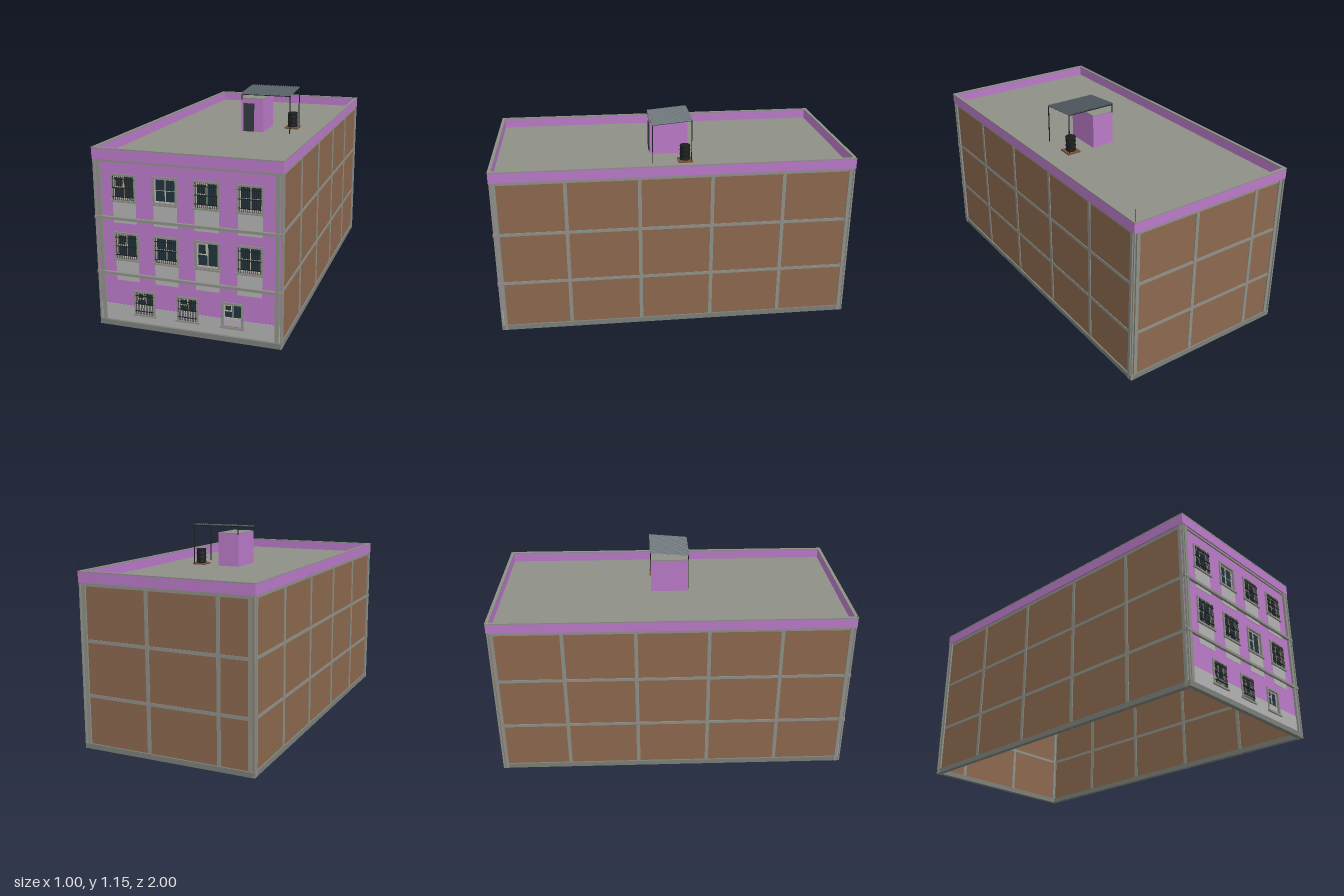
import * as THREE from 'three';

const mat = (color, side = THREE.FrontSide) => new THREE.MeshStandardMaterial({ color, side });
const M = {
  pink: mat(0xba7ac8), brick: mat(0x8c684e), concrete: mat(0x8e9088), light: mat(0xb2b2b2),
  glass: mat(0x22343e), sash: mat(0xb9b8a4), iron: mat(0x1c1e20), door: mat(0x343a3c),
  plinth: mat(0x7c7f78), wood: mat(0x7a5138), sheet: mat(0x566268, THREE.DoubleSide),
};

function add(parent, name, geo, material, x = 0, y = 0, z = 0) {
  const mesh = new THREE.Mesh(geo, material);
  mesh.name = name;
  mesh.position.set(x, y, z);
  parent.add(mesh);
  return mesh;
}

// Box given by its minimum and maximum on each axis
function box(parent, name, material, x0, x1, y0, y1, z0, z1) {
  return add(parent, name, new THREE.BoxGeometry(x1 - x0, y1 - y0, z1 - z0), material,
    (x0 + x1) / 2, (y0 + y1) / 2, (z0 + z1) / 2);
}

function group(parent, name) {
  const g = new THREE.Group();
  g.name = name;
  parent.add(g);
  return g;
}

function rect(path, x0, x1, y0, y1) {
  path.moveTo(x0, y0);
  path.lineTo(x1, y0);
  path.lineTo(x1, y1);
  path.lineTo(x0, y1);
  path.closePath();
  return path;
}

// Rectangular slab in the XY plane with rectangular holes
function pierced(x0, x1, y0, y1, holes, depth) {
  const shape = rect(new THREE.Shape(), x0, x1, y0, y1);
  for (const h of holes) shape.holes.push(rect(new THREE.Path(), ...h));
  return new THREE.ExtrudeGeometry(shape, { depth, bevelEnabled: false });
}

// Horizontal ring following the outline of the building
function ring(parent, name, material, hx, hz, t, y0, y1) {
  const geo = pierced(-hx, hx, -hz, hz, [[-hx + t, hx - t, -hz + t, hz - t]], y1 - y0);
  geo.rotateX(-Math.PI / 2);
  return add(parent, name, geo, material, 0, y0, 0);
}

// Window rows: sash marks a small upper left casement, bars a grille
const windows = [];
const row = (xs, w, y0, y1, bars, sash, ground) => xs.forEach((x, i) =>
  windows.push({ x, w, y0, y1, bars: bars[i], sash: sash[i], ground }));
row([-0.335, -0.112, 0.108, 0.332], 0.134, 0.686, 0.828, [1, 0, 1, 1], [1, 0, 1, 0], false);
row([-0.33, -0.112, 0.108, 0.33], 0.134, 0.373, 0.52, [1, 1, 0, 1], [1, 0, 1, 0], false);
row([-0.24, -0.002, 0.238], 0.116, 0.075, 0.21, [1, 1, 0], [1, 1, 1], true);

const FACE = 0.984; // front plane of the facade

function buildWindow(parent, { x, w, y0, y1, bars, sash, ground }) {
  const g = group(parent, 'window');
  const h = w / 2, t = 0.011;
  const l = x - h + t, r = x + h - t, b = y0 + t, top = y1 - t;
  add(g, 'windowSurround', pierced(x - h, x + h, y0, y1, [[l, r, b, top]], 0.008), M.concrete, 0, 0, FACE - 0.001);
  box(g, 'windowSill', M.concrete, x - h - 0.006, x + h + 0.006, y0 - 0.004, y0 + 0.005, FACE - 0.002, 0.996);
  box(g, 'glass', M.glass, l, r, b, top, 0.970, 0.974);
  const lower = ground ? 0.122 : b;
  if (ground) box(g, 'lowerPanel', M.light, l, r, b, lower, 0.973, 0.979);
  const s = 0.004;
  add(g, 'casementFrame', pierced(l, r, lower, top,
    [[l + s, x - s / 2, lower + s, top - s], [x + s / 2, r - s, lower + s, top - s]], 0.006), M.sash, 0, 0, 0.973);
  const mid = (lower + top) / 2;
  if (sash) {
    add(g, 'openingPane', pierced(l + s, x - s, mid, top - s,
      [[l + 2 * s, x - 2 * s, mid + s, top - 2 * s]], 0.005), M.sash, 0, 0, 0.978);
  } else {
    box(g, 'glazingBar', M.sash, l, r, mid - 0.001, mid + 0.001, 0.973, 0.977);
  }
  if (bars) {
    const grille = group(g, 'grille');
    const n = 10;
    for (let i = 0; i <= n; i++) {
      const bx = l + 0.002 + (r - l - 0.004) * i / n;
      box(grille, 'verticalBar', M.iron, bx - 0.001, bx + 0.001, b - 0.003, top + 0.002, 0.993, 0.995);
    }
    for (const f of [0.12, 0.5, 0.88]) {
      const by = b + (top - b) * f;
      box(grille, 'crossBar', M.iron, l - 0.004, r + 0.004, by - 0.0013, by + 0.0013, 0.991, 0.996);
    }
  }
  // Pale apron below the upper windows
  if (!ground) box(g, 'apron', M.light, x - 0.063, x + 0.063, y0 - 0.116, y0 - 0.004, FACE - 0.004, FACE + 0.003);
}

function buildFacade(root) {
  const g = group(root, 'facade');
  const holes = windows.map(({ x, w, y0, y1 }) =>
    [x - w / 2 + 0.01, x + w / 2 - 0.01, y0 + 0.01, y1 - 0.01]);
  add(g, 'frontWall', pierced(-0.491, 0.491, 0.02, 0.9, holes, FACE - 0.966), M.pink, 0, 0, 0.966);
  // Slightly thicker lower render and the pale dado
  const low = holes.filter(h => h[3] < 0.3);
  add(g, 'lowerRender', pierced(-0.4925, 0.4925, 0.12, 0.378,
    [...low.map(h => [h[0], h[1], 0.121, h[3]]), ...holes.filter(h => h[2] > 0.3 && h[3] < 0.6)
      .map(h => [h[0], h[1], h[2], 0.3779])], 0.002), M.pink, 0, 0, FACE - 0.001);
  add(g, 'dado', pierced(-0.4925, 0.4925, 0.03, 0.12,
    low.map(h => [h[0], h[1], h[2], 0.1199]), 0.004), M.light, 0, 0, FACE - 0.001);
  for (const y of [0.295, 0.595])
    box(g, 'stringCourse', M.concrete, -0.5, 0.5, y - 0.007, y + 0.007, FACE - 0.004, 1);
  box(g, 'topBeam', M.concrete, -0.492, 0.492, 0.887, 0.9, FACE - 0.004, 0.992);
  windows.forEach(w => buildWindow(g, w));
}

function buildWallsAndFrame(root) {
  const walls = group(root, 'brickWalls'), frame = group(root, 'concreteFrame');
  for (const s of [-1, 1]) {
    const side = (name, m, a, b, y0, y1, z0, z1) =>
      box(walls, name, m, Math.min(s * a, s * b), Math.max(s * a, s * b), y0, y1, z0, z1);
    side('sideWall', M.brick, 0.478, 0.488, 0.02, 0.9, -0.985, 0.966);
    for (const z of [-0.6, -0.2, 0.2, 0.6]) side('sideColumn', M.concrete, 0.474, 0.492, 0, 0.9, z - 0.01, z + 0.01);
    for (const y of [0.295, 0.592, 0.89]) side('sideBeam', M.concrete, 0.475, 0.491, y - 0.009, y + 0.009, -0.97, 0.966);
    // Paired posts around every corner
    for (const e of [-1, 1]) {
      box(frame, 'cornerPostOnSide', M.concrete, s * 0.487 - 0.011, s * 0.487 + 0.011, 0, 0.9,
        e * 0.973 - 0.009, e * 0.973 + 0.009);
      box(frame, 'cornerPostOnEnd', M.concrete, s * 0.47 - 0.01, s * 0.47 + 0.01, 0, 0.9,
        e * 0.983 - 0.013, e * 0.983 + 0.013);
      box(frame, 'cornerPipe', M.concrete, s * 0.493 - 0.004, s * 0.493 + 0.004, 0, 0.9,
        e * 0.993 - 0.004, e * 0.993 + 0.004);
    }
  }
  box(walls, 'backWall', M.brick, -0.485, 0.485, 0.02, 0.9, -0.988, -0.978);
  for (const x of [-0.3, 0.1]) box(frame, 'backColumn', M.concrete, x - 0.01, x + 0.01, 0, 0.9, -0.992, -0.974);
  for (const y of [0.295, 0.592, 0.89])
    box(frame, 'backBeam', M.concrete, -0.48, 0.48, y - 0.009, y + 0.009, -0.991, -0.975);
  ring(frame, 'plinth', M.plinth, 0.497, 0.997, 0.025, 0, 0.028);
}

function buildRoof(root) {
  const g = group(root, 'roof');
  box(g, 'roofSlab', M.concrete, -0.49, 0.49, 0.888, 0.901, -0.99, 0.99);
  ring(g, 'parapet', M.pink, 0.499, 0.999, 0.016, 0.899, 0.955);
  ring(g, 'parapetCap', M.concrete, 0.5, 1, 0.018, 0.954, 0.96);
  const rod = (x, z, top) => add(g, 'rod', new THREE.CylinderGeometry(0.0012, 0.0012, top - 0.95, 6),
    M.iron, x, (top + 0.95) / 2, z);
  rod(-0.494, 0.994, 1.055);
  rod(0.494, -0.994, 1.03);

  // Stair hut with door
  const hut = group(g, 'stairHut');
  box(hut, 'hutWalls', M.pink, 0.001, 0.134, 0.9, 1.094, -0.109, 0.109);
  box(hut, 'hutRoof', M.concrete, 0, 0.135, 1.094, 1.1, -0.11, 0.11);
  box(hut, 'hutDoor', M.door, 0.015, 0.08, 0.902, 1.068, 0.1, 0.112);

  // Sloping corrugated canopy on thin posts
  const canopy = group(g, 'canopy');
  const slope = z => 1.135 - z * 0.09;
  const sheet = new THREE.PlaneGeometry(0.3, 0.23, 176, 1);
  sheet.rotateX(-Math.PI / 2);
  const p = sheet.attributes.position;
  for (let i = 0; i < p.count; i++)
    p.setY(i, slope(p.getZ(i)) + 0.0045 * Math.sin((p.getX(i) + 0.15) / 0.3 * Math.PI * 44));
  sheet.computeVertexNormals();
  add(canopy, 'corrugatedSheet', sheet, M.sheet, 0.15, 0, 0);
  for (const z of [-0.11, 0.11]) {
    const top = slope(z) - 0.004;
    box(canopy, 'canopyRail', M.iron, 0.002, 0.298, top - 0.004, top, z - 0.002, z + 0.002);
    box(canopy, 'tallPost', M.iron, 0.293, 0.298, 0.9, top, z - 0.002, z + 0.002);
    box(canopy, 'shortPost', M.iron, 0.002, 0.007, 1.09, top, z - 0.002, z + 0.002);
  }

  // Ribbed water barrel on a wooden base
  const tank = group(g, 'waterBarrel');
  box(tank, 'barrelBase', M.wood, 0.226, 0.306, 0.9, 0.91, -0.116, -0.036);
  const profile = [[0, 0], [0.028, 0], [0.031, 0.005], [0.028, 0.01], [0.028, 0.027], [0.031, 0.031],
    [0.028, 0.035], [0.028, 0.053], [0.031, 0.057], [0.028, 0.061], [0.028, 0.077], [0.031, 0.081],
    [0.028, 0.086], [0.024, 0.084], [0, 0.084]].map(([r, y]) => new THREE.Vector2(r, y));
  add(tank, 'barrel', new THREE.LatheGeometry(profile, 24), M.iron, 0.266, 0.91, -0.076);
}

export function createModel() {
  const root = new THREE.Group();
  root.name = 'apartmentBuilding';
  buildFacade(root);
  buildWallsAndFrame(root);
  buildRoof(root);
  return root;
}
